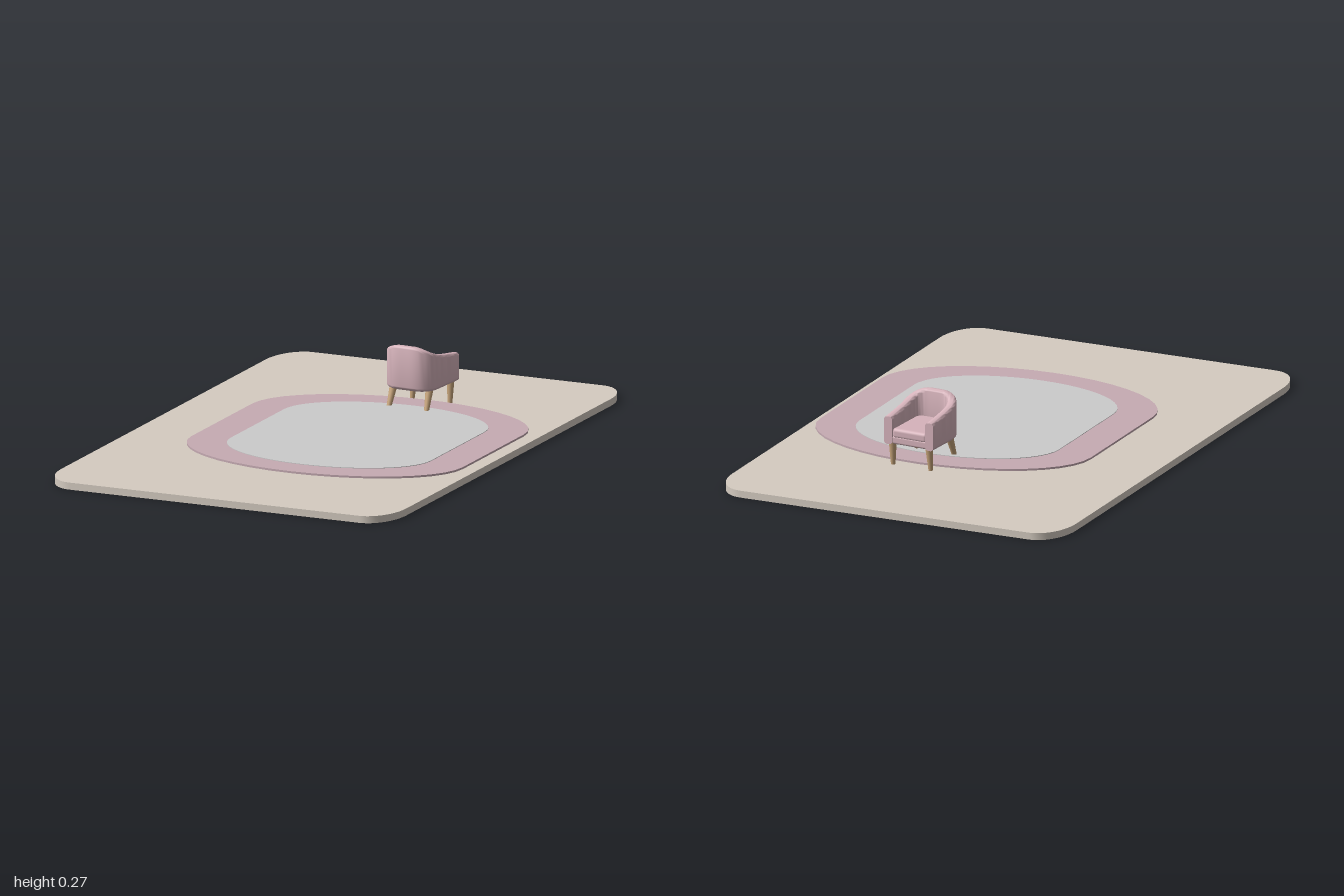
import * as THREE from 'three';
import { toCreasedNormals } from 'three/addons/utils/BufferGeometryUtils.js';
import { RoundedBoxGeometry } from 'three/addons/geometries/RoundedBoxGeometry.js';

const material = (color) => new THREE.MeshStandardMaterial({ color });

function add(parent, name, geometry, mat) {
  const mesh = new THREE.Mesh(geometry, mat);
  mesh.name = name;
  parent.add(mesh);
  return mesh;
}

// Flat slab: half sizes w and d, elliptical corners rx by rz, from y0 to y1
function slab(w, d, rx, rz, y0, y1, segments) {
  const shape = new THREE.Shape();
  const corners = [[1, 1], [-1, 1], [-1, -1], [1, -1]];
  corners.forEach(([sx, sy], k) => {
    for (let i = 0; i <= segments; i++) {
      const a = (k + i / segments) * Math.PI / 2;
      const x = sx * (w - rx) + rx * Math.cos(a);
      const y = sy * (d - rz) + rz * Math.sin(a);
      if (k === 0 && i === 0) shape.moveTo(x, y);
      else shape.lineTo(x, y);
    }
  });
  const g = new THREE.ExtrudeGeometry(shape, { depth: y1 - y0, bevelEnabled: false });
  g.rotateX(-Math.PI / 2).translate(0, y0, 0);
  return toCreasedNormals(g, 0.6);
}

// Wraparound back and arms: a rounded section swept along a U, higher at the back
function shellGeometry() {
  const path = new THREE.Path();
  path.moveTo(-0.081, -0.107);
  path.lineTo(-0.081, 0.03);
  path.bezierCurveTo(-0.081, 0.07, -0.065, 0.092, -0.02, 0.092);
  path.lineTo(0.02, 0.092);
  path.bezierCurveTo(0.065, 0.092, 0.081, 0.07, 0.081, 0.03);
  path.lineTo(0.081, -0.107);

  const steps = 56, arc = 5, half = 0.016, r = 0.012, bottom = 0.11;
  const ring = 4 * (arc + 1);
  const positions = [], index = [];
  for (let i = 0; i <= steps; i++) {
    const p = path.getPointAt(i / steps);
    const t = path.getTangentAt(i / steps);
    const f = (p.y + 0.107) / 0.199;
    const top = 0.21 + 0.028 * f + 0.028 * f ** 5;
    for (let k = 0; k < 4; k++) {
      const cu = (k === 0 || k === 3 ? 1 : -1) * (half - r);
      const cv = k < 2 ? top - r : bottom + r;
      for (let s = 0; s <= arc; s++) {
        const a = (k + s / arc) * Math.PI / 2;
        const u = cu + r * Math.cos(a);
        positions.push(p.x - t.y * u, cv + r * Math.sin(a), p.y + t.x * u);
      }
    }
  }
  for (let i = 0; i < steps; i++) {
    for (let j = 0; j < ring; j++) {
      const a = i * ring + j, c = i * ring + (j + 1) % ring;
      index.push(a, a + ring, c, c, a + ring, c + ring);
    }
  }
  // Flat arm fronts
  const last = steps * ring;
  for (let j = 1; j < ring - 1; j++) {
    index.push(0, j, j + 1, last, last + j + 1, last + j);
  }
  const g = new THREE.BufferGeometry();
  g.setAttribute('position', new THREE.Float32BufferAttribute(positions, 3));
  g.setIndex(index);
  return toCreasedNormals(g, 0.7);
}

// Tapered round leg between two points
function addLeg(parent, name, foot, head, mat) {
  const axis = head.clone().sub(foot);
  const leg = add(parent, name, new THREE.CylinderGeometry(0.014, 0.008, axis.length(), 16), mat);
  leg.position.copy(foot).addScaledVector(axis, 0.5);
  leg.quaternion.setFromUnitVectors(new THREE.Vector3(0, 1, 0), axis.normalize());
}

function createChair() {
  const chair = new THREE.Group();
  chair.name = 'armchair';
  const fabric = material(0xd6b3bb);
  const wood = material(0xc9a67c);

  add(chair, 'backAndArms', shellGeometry(), fabric);

  // Seat base and cushion
  const base = add(chair, 'seatBase', new RoundedBoxGeometry(0.146, 0.03, 0.19, 3, 0.008), fabric);
  base.position.set(0, 0.126, -0.008);
  const cushion = add(chair, 'seatCushion', new RoundedBoxGeometry(0.136, 0.036, 0.188, 4, 0.012), fabric);
  cushion.position.set(0, 0.15, -0.01);

  for (const side of [-1, 1]) {
    const label = side > 0 ? 'Left' : 'Right';
    addLeg(chair, 'front' + label + 'Leg', new THREE.Vector3(side * 0.074, 0.033, -0.083),
      new THREE.Vector3(side * 0.072, 0.118, -0.09), wood);
    addLeg(chair, 'rear' + label + 'Leg', new THREE.Vector3(side * 0.074, 0.033, 0.088),
      new THREE.Vector3(side * 0.07, 0.118, 0.055), wood);
  }
  return chair;
}

export function createModel() {
  const model = new THREE.Group();
  model.name = 'armchairOnRug';

  // Large base panel
  add(model, 'basePanel', slab(0.655, 1, 0.105, 0.16, 0, 0.025, 12), material(0xd5ccc1));

  // Rug with a plain centre field
  const border = add(model, 'rugBorder', slab(0.515, 0.55, 0.515, 0.3, 0.036, 0.043, 10), material(0xc6abb3));
  border.position.set(0.105, 0, 0.05);
  const field = add(model, 'rugField', slab(0.38, 0.45, 0.38, 0.23, 0.039, 0.045, 12), material(0xcccccc));
  field.position.set(0.105, 0, 0.05);

  // Chair turned to face away, slightly askew
  const chair = createChair();
  chair.position.set(0.11, 0, -0.448);
  chair.rotation.y = -0.07;
  model.add(chair);

  return model;
}
